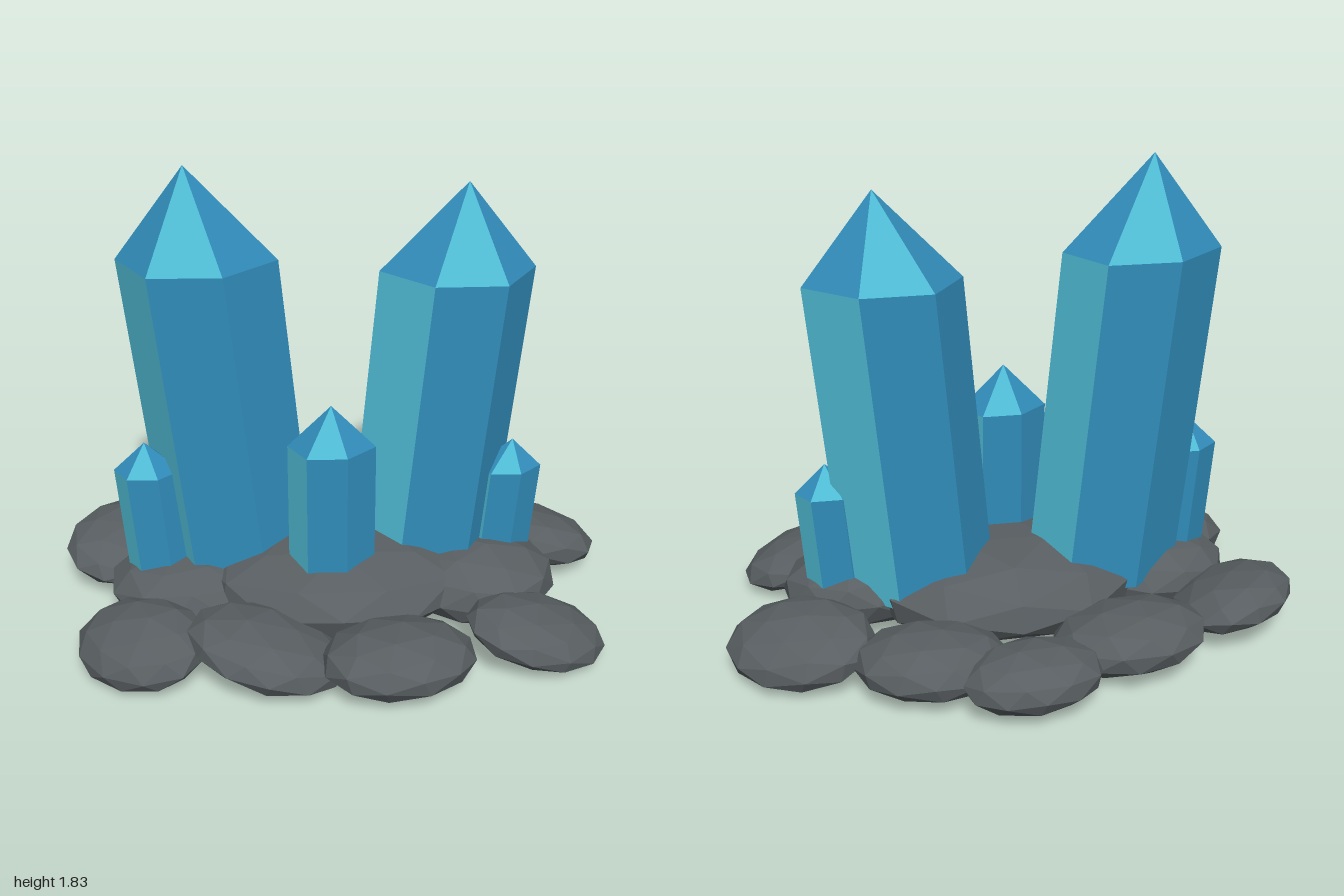
import * as THREE from 'three';

const paleBlue = new THREE.MeshStandardMaterial({ color: 0x50bdd6 });
paleBlue.name = 'paleCrystalBlue';
const deepBlue = new THREE.MeshStandardMaterial({ color: 0x318cba });
deepBlue.name = 'deepCrystalBlue';
const stone = new THREE.MeshStandardMaterial({ color: 0x585e61 });
stone.name = 'greyStone';

// Stretched hexagon shared by all crystals, as [x, z]
const half = [[0, -0.235], [0.215, -0.195], [0.19, 0.05]];
const hexagon = [...half, ...half.map(([x, z]) => [-x, -z])];
const mirroredHexagon = hexagon.map(([x, z]) => [-z, -x]).reverse();

function flatGeometry(points) {
  const g = new THREE.BufferGeometry();
  g.setAttribute('position', new THREE.Float32BufferAttribute(points.flat(), 3));
  g.computeVertexNormals();
  return g;
}

// Leaning hexagonal prism with a pointed cap; faces are sorted into two colours
function makeCrystal({ name, x, z, base, top, apex, size, lean, tip, mirrored }) {
  const ring = mirrored ? mirroredHexagon : hexagon;
  const at = ([px, pz], y) => [
    x + px * size + (y - top) * lean[0], y, z + pz * size + (y - top) * lean[1],
  ];
  const peak = [tip[0], apex, tip[1]];
  const bottom = at([0, 0], base);
  const pale = [], deep = [];
  ring.forEach((corner, i) => {
    const next = ring[(i + 1) % 6];
    const b0 = at(corner, base), b1 = at(next, base);
    const t0 = at(corner, top), t1 = at(next, top);
    (i % 3 === 0 ? pale : deep).push(b0, t0, t1, b0, t1, b1);
    (i % 3 === 2 ? pale : deep).push(t0, peak, t1);
    deep.push(b0, b1, bottom);
  });
  const group = new THREE.Group();
  group.name = name;
  [[pale, paleBlue, 'paleFacets'], [deep, deepBlue, 'deepFacets']].forEach(([pts, mat, label]) => {
    const mesh = new THREE.Mesh(flatGeometry(pts), mat);
    mesh.name = label;
    group.add(mesh);
  });
  return group;
}

// Faceted flattened stone: centre, radii, heading of the long axis, slope along x and z
function makeRock([name, x, y, z, long, high, wide, heading, slopeX, slopeZ], i) {
  const g = new THREE.IcosahedronGeometry(1.02, 1);
  g.rotateX(i * 1.3 + 0.4).rotateZ(i * 0.9);
  g.scale(long, high, wide).rotateY(heading);
  const p = g.attributes.position;
  for (let k = 0; k < p.count; k++) {
    p.setY(k, p.getY(k) + p.getX(k) * slopeX + p.getZ(k) * slopeZ);
  }
  g.computeVertexNormals();
  g.computeBoundingBox();
  const mesh = new THREE.Mesh(g, stone);
  mesh.name = name;
  mesh.position.set(x, Math.max(y, -g.boundingBox.min.y), z);
  return mesh;
}

export function createModel() {
  const model = new THREE.Group();
  model.name = 'crystalCluster';

  // Crystals
  [
    { name: 'tallCrystal', x: -0.385, z: 0.305, base: 0.2, top: 1.49, apex: 1.84, size: 1,
      lean: [-0.064, 0.068], tip: [-0.405, 0.33] },
    { name: 'secondCrystal', x: 0.257, z: -0.375, base: 0.2, top: 1.43, apex: 1.76, size: 0.98,
      lean: [0.058, -0.064], tip: [0.277, -0.395], mirrored: true },
    { name: 'middleCrystal', x: 0.09, z: 0.112, base: 0.22, top: 0.83, apex: 1.0, size: 0.56,
      lean: [0, 0], tip: [0.09, 0.115] },
    { name: 'smallFrontCrystal', x: -0.482, z: 0.515, base: 0.15, top: 0.67, apex: 0.79, size: 0.44,
      lean: [-0.06, 0.04], tip: [-0.487, 0.52] },
    { name: 'smallBackCrystal', x: 0.435, z: -0.51, base: 0.15, top: 0.62, apex: 0.735, size: 0.44,
      lean: [0.05, -0.05], tip: [0.445, -0.52] },
  ].forEach((c) => model.add(makeCrystal(c)));

  // Stones: a central mound, two under the tall crystals, and an outer ring
  [
    ['centralMound', 0, 0.2, -0.02, 0.53, 0.18, 0.42, 0.8, 0, 0],
    ['backMoundStone', 0.42, 0.18, -0.36, 0.31, 0.15, 0.25, 0.8, -0.05, 0],
    ['frontMoundStone', -0.39, 0.16, 0.42, 0.31, 0.14, 0.25, 0.8, 0, 0],
    ['backStone', 0.36, 0.14, -0.785, 0.28, 0.11, 0.21, 0.35, 0, 0.2],
    ['backLeftStone', -0.1, 0.14, -0.6, 0.28, 0.11, 0.21, 0.65, 0, 0],
    ['sideBackStone', -0.45, 0.14, -0.47, 0.26, 0.11, 0.18, 0.95, 0, 0],
    ['sideStone', -0.6, 0.15, -0.07, 0.29, 0.12, 0.22, 0.8, -0.1, 0],
    ['sideFrontStone', -0.785, 0.15, 0.4, 0.265, 0.1, 0.215, 1.57, -0.18, 0],
    ['frontStone', -0.25, 0.13, 0.785, 0.26, 0.11, 0.2, 0.3, 0, -0.2],
    ['frontRightStone', 0.13, 0.15, 0.5, 0.29, 0.11, 0.22, 0.7, -0.2, 0.15],
    ['rightStone', 0.51, 0.14, 0.2, 0.29, 0.12, 0.21, 1.0, 0, 0.05],
    ['rightBackStone', 0.785, 0.14, -0.27, 0.265, 0.1, 0.195, 0.95, -0.2, 0.15],
  ].forEach((r, i) => model.add(makeRock(r, i)));

  return model;
}
